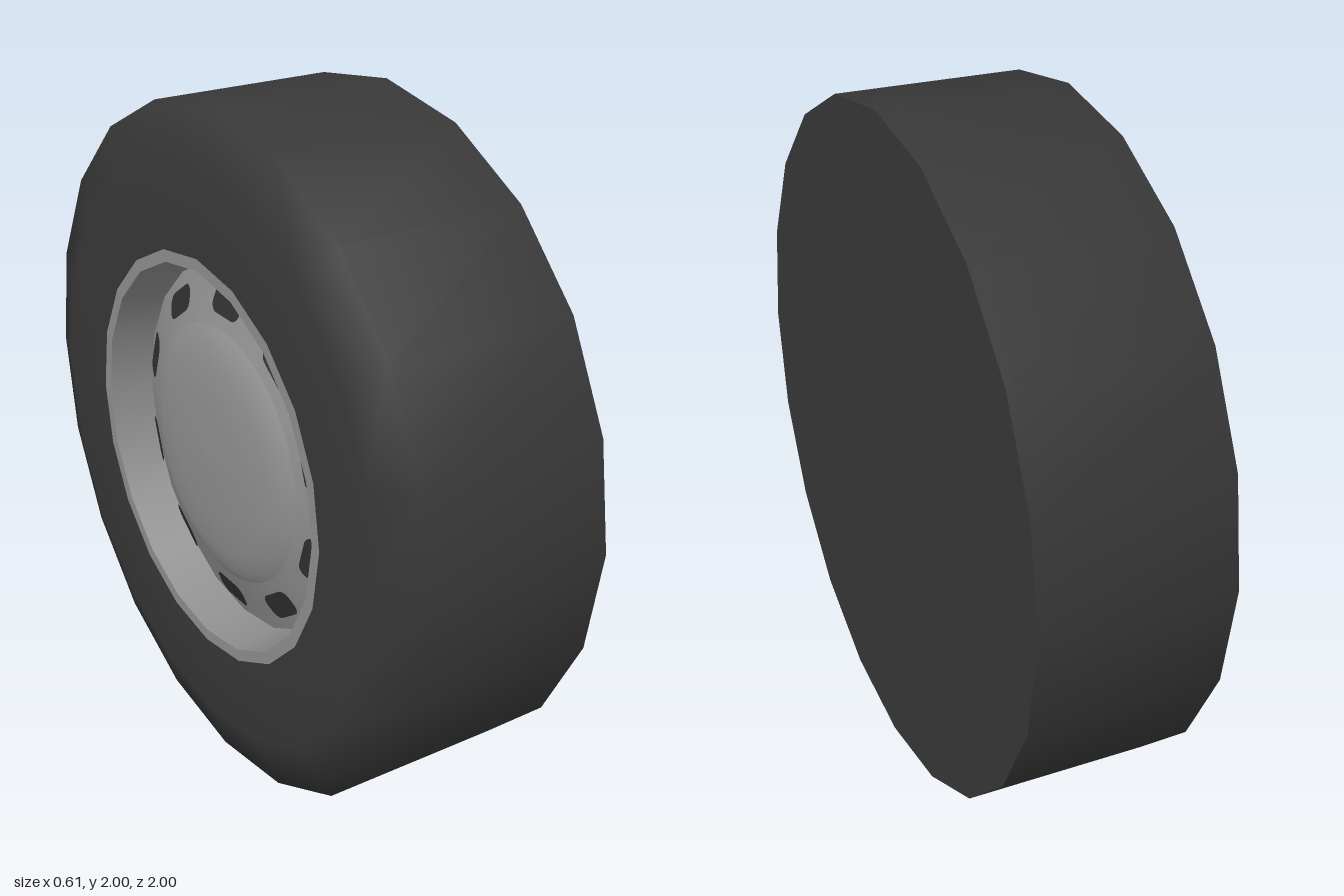
import * as THREE from 'three';

const SIDES = 20;

export function createModel() {
  const rubber = new THREE.MeshStandardMaterial({ color: 0x383838 });
  rubber.name = 'dark rubber';
  const steel = new THREE.MeshStandardMaterial({ color: 0x8f8f8f });
  steel.name = 'grey steel';
  const hole = new THREE.MeshStandardMaterial({ color: 0x303030 });
  hole.name = 'slot black';

  const model = new THREE.Group();
  model.name = 'wheel';

  // The wheel is turned about y, then tipped so its outer face points to -x
  const wheel = new THREE.Group();
  wheel.name = 'wheelAssembly';
  wheel.rotation.z = Math.PI / 2;
  wheel.position.y = 1;
  model.add(wheel);

  const add = (name, geometry, material, parent = wheel) => {
    const mesh = new THREE.Mesh(geometry, material);
    mesh.name = name;
    parent.add(mesh);
    return mesh;
  };
  // Profile points are [radius, height towards the outer face]
  const turn = (name, profile, material, sides = SIDES) =>
    add(name, new THREE.LatheGeometry(profile.map(([r, h]) => new THREE.Vector2(r, h)), sides), material);

  // Tyre with rounded outer shoulder and a closed flat back
  turn('tyre', [[1, -0.3], [1, 0.25], [0.84, 0.305], [0.6, 0.305]], rubber);
  turn('tyreBack', [[0, -0.3], [1, -0.3]], rubber);

  // Rim: flat lip, deep wall, sloping disc and domed cap
  turn('rimLip', [[0.6, 0.305], [0.565, 0.305]], steel);
  turn('rimWall', [[0.565, 0.305], [0.54, 0.17]], steel);
  turn('rimDisc', [[0.54, 0.175], [0.38, 0.235]], steel);
  turn('hubCap', [[0.38, 0.235], [0.35, 0.255], [0.29, 0.273], [0.18, 0.286], [0, 0.29]], steel, 40);

  // Ten rounded slots lying on the sloping disc
  const w = 0.07, h = 0.04, r = 0.03;
  const outline = new THREE.Shape();
  outline.absarc(w - r, h - r, r, 0, Math.PI / 2);
  outline.absarc(r - w, h - r, r, Math.PI / 2, Math.PI);
  outline.absarc(r - w, r - h, r, Math.PI, Math.PI * 1.5);
  outline.absarc(w - r, r - h, r, Math.PI * 1.5, Math.PI * 2);
  const slot = new THREE.ShapeGeometry(outline, 4);
  slot.rotateX(-Math.PI / 2 + 0.36);
  slot.translate(0, 0.213, 0.455);
  for (let i = 0; i < 10; i++) {
    add('rimSlot', slot, hole).rotation.y = Math.PI / 2 + (i * Math.PI) / 5;
  }

  return model;
}
